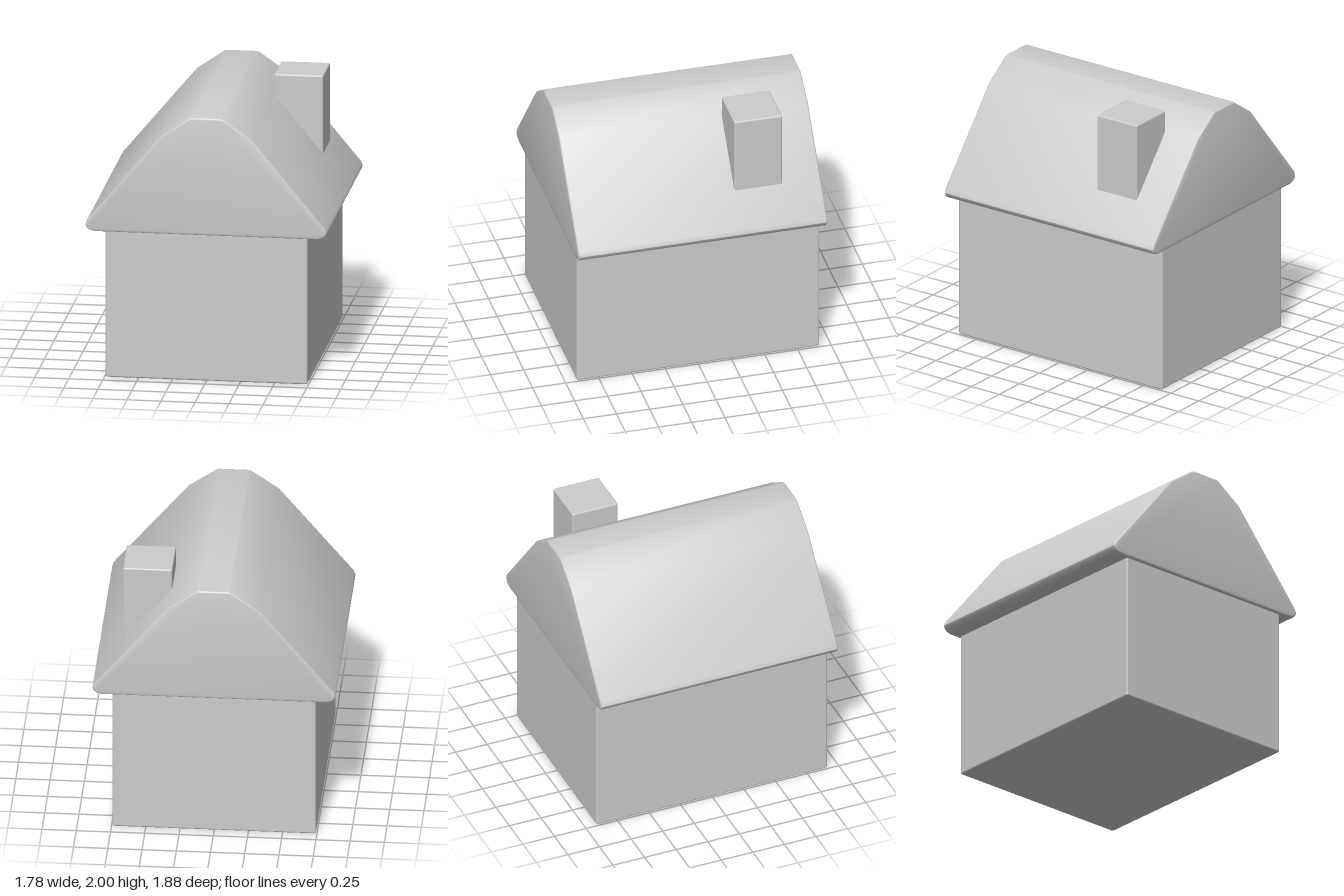
import * as THREE from 'three';
import { toCreasedNormals } from 'three/addons/utils/BufferGeometryUtils.js';
import { RoundedBoxGeometry } from 'three/addons/geometries/RoundedBoxGeometry.js';

const plaster = new THREE.MeshStandardMaterial({ color: 0xcccccc });
plaster.name = 'plain grey';

// Softly rounded box given by its lower and upper corners
function block(name, [x0, y0, z0], [x1, y1, z1], radius) {
  const geometry = new RoundedBoxGeometry(x1 - x0, y1 - y0, z1 - z0, 2, radius);
  const mesh = new THREE.Mesh(geometry, plaster);
  mesh.name = name;
  mesh.position.set((x0 + x1) / 2, (y0 + y1) / 2, (z0 + z1) / 2);
  return mesh;
}

// Gabled roof with a blunt ridge and rounded eaves, mirrored about x = 0
function roof() {
  const half = [
    [0.82, 1.105], [0.86, 1.115], [0.88, 1.133], [0.888, 1.155], [0.876, 1.187],
    [0.33, 1.843], [0.125, 1.985], [0.105, 1.989],
  ];
  const mirrored = half.map(([x, y]) => [-x, y]).reverse();
  const shape = new THREE.Shape([...half, ...mirrored].map(([x, y]) => new THREE.Vector2(x, y)));
  const bevel = 0.012;
  const length = 1.876;
  const geometry = new THREE.ExtrudeGeometry(shape, {
    depth: length - 2 * bevel,
    bevelThickness: bevel,
    bevelSize: bevel,
    bevelOffset: -bevel,
    bevelSegments: 3,
  });
  geometry.translate(0, 0, bevel - length / 2);
  const mesh = new THREE.Mesh(toCreasedNormals(geometry, 0.7), plaster);
  mesh.name = 'roof';
  return mesh;
}

export function createModel() {
  const house = new THREE.Group();
  house.name = 'house';
  house.add(
    block('walls', [-0.743, 0, -0.914], [0.743, 1.12, 0.914], 0.014),
    roof(),
    block('chimney', [0.327, 1.38, -0.648], [0.688, 2, -0.287], 0.012),
  );
  return house;
}
